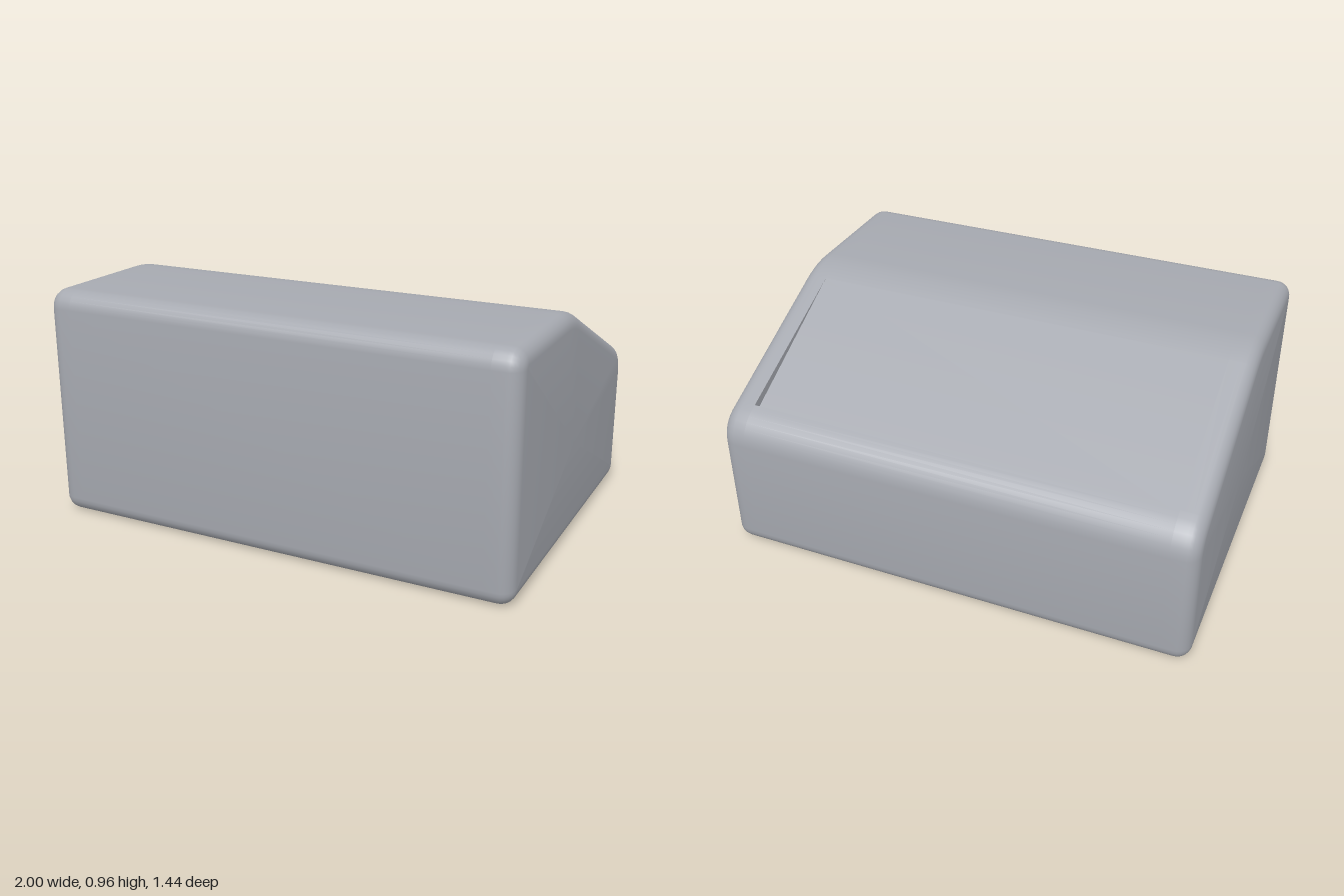
import * as THREE from 'three';
import { toCreasedNormals } from 'three/addons/utils/BufferGeometryUtils.js';

const EDGE = 0.06;      // rounding towards the left and right sides
const PANEL_X = 0.89;   // half width of the sunken panel
const PANEL_Z = -0.61;  // rear edge of the sunken panel
const DEPTH = 0.035;    // depth of the panel at its rear edge

// side profile corners: z, y, rounding radius
const CORNERS = [
  [0.72, 0, 0.065], [-0.72, 0, 0.065], [-0.72, 0.6, 0.14], [0.09, 0.96, 0.4], [0.72, 0.96, 0.075],
];

// outward normal of the profile edge that starts at corner i
function edgeNormal(i) {
  const n = CORNERS.length;
  const a = CORNERS[(i + n) % n], b = CORNERS[(i + 1) % n];
  return new THREE.Vector2(a[1] - b[1], b[0] - a[0]).multiplyScalar(-1).negate()
    .normalize().multiplyScalar(outwardSign);
}
const outwardSign = 1;

// rounded side profile, shrunk by inset, with the panel step cut to the given depth
function profile(inset, depth) {
  const ring = [];
  CORNERS.forEach(([z, y, r], i) => {
    const n0 = edgeNormal(i - 1), n1 = edgeNormal(i);
    const centre = new THREE.Vector2(z, y)
      .addScaledVector(n0.clone().add(n1), -r / (1 + n0.dot(n1)));
    const start = Math.atan2(n0.y, n0.x);
    const turn = Math.atan2(n0.cross(n1), n0.dot(n1));
    for (let k = 0; k <= 6; k++) {
      const a = start + turn * k / 6;
      ring.push(new THREE.Vector2(Math.cos(a), Math.sin(a)).multiplyScalar(r - inset).add(centre));
    }
    if (i === 2) {  // step between the rear rim and the sloped panel
      const along = (PANEL_Z - z) / (CORNERS[3][0] - z);
      const rim = new THREE.Vector2(PANEL_Z, y + along * (CORNERS[3][1] - y)).addScaledVector(n1, -inset);
      ring.push(rim, rim.clone().addScaledVector(n1, -depth));
    }
  });
  return ring;
}

// skin the cross-sections from right to left
function housingGeometry() {
  const ends = [];
  for (let k = 0; k <= 6; k++) {
    const a = (Math.PI / 2) * k / 6;
    ends.push({ x: 1 - EDGE + EDGE * Math.sin(a), ring: profile(EDGE * (1 - Math.cos(a)), 0) });
  }
  const half = [
    { x: PANEL_X, ring: profile(0, DEPTH) },
    { x: PANEL_X, ring: profile(0, 0) },
    ...ends,
  ];
  const stations = [...half.map(s => ({ x: -s.x, ring: s.ring })).reverse(), ...half];
  const point = (s, i) => {
    const p = s.ring[i % s.ring.length];
    return new THREE.Vector3(s.x, p.y, p.x);
  };
  const positions = [];
  const triangle = (a, b, c) => {
    if (new THREE.Triangle(a, b, c).getArea() < 1e-9) return;
    for (const p of [a, b, c]) positions.push(p.x, p.y, p.z);
  };
  const count = stations[0].ring.length;
  for (let s = 0; s < stations.length - 1; s++) {
    for (let i = 0; i < count; i++) {
      const a = point(stations[s], i), b = point(stations[s], i + 1);
      const c = point(stations[s + 1], i + 1), d = point(stations[s + 1], i);
      triangle(a, b, c);
      triangle(a, c, d);
    }
  }
  // flat sides
  const first = stations[0], last = stations[stations.length - 1];
  for (let i = 0; i < count; i++) {
    triangle(new THREE.Vector3(last.x, 0.4, 0), point(last, i), point(last, i + 1));
    triangle(new THREE.Vector3(first.x, 0.4, 0), point(first, i + 1), point(first, i));
  }
  const geometry = new THREE.BufferGeometry();
  geometry.setAttribute('position', new THREE.Float32BufferAttribute(positions, 3));
  return toCreasedNormals(geometry, Math.PI / 6);
}

export function createModel() {
  const group = new THREE.Group();
  group.name = 'slopedHousing';
  const grey = new THREE.MeshStandardMaterial({ color: 0xa6a9b0 });
  grey.name = 'grey';
  const housing = new THREE.Mesh(housingGeometry(), grey);
  housing.name = 'housing';
  group.add(housing);
  return group;
}
